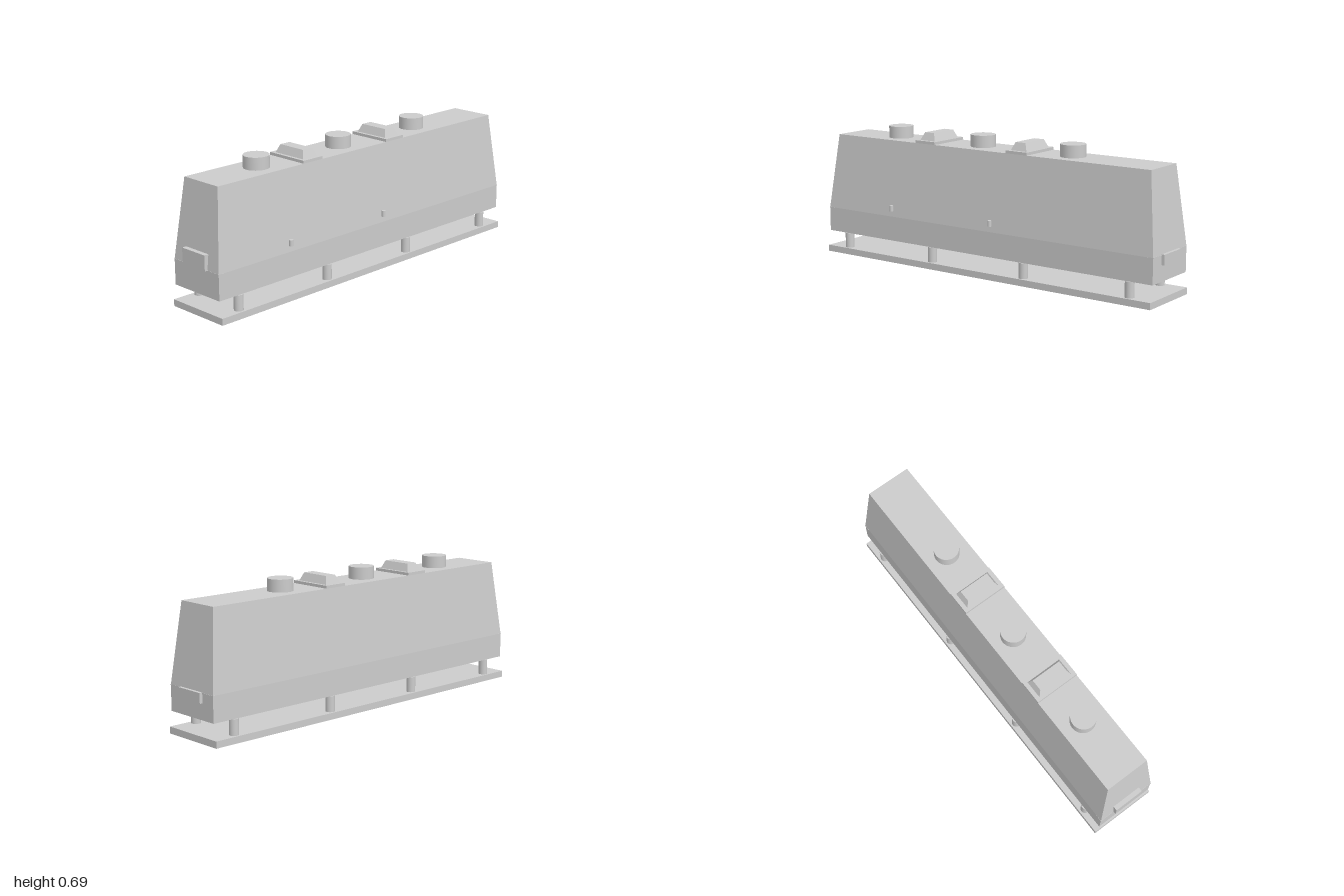
import * as THREE from 'three';

const material = new THREE.MeshStandardMaterial({ color: 0xcccccc });

function add(parent, name, geometry, x, y, z) {
  const mesh = new THREE.Mesh(geometry, material);
  mesh.name = name;
  mesh.position.set(x, y, z);
  parent.add(mesh);
  return mesh;
}

// Box standing on y0, given by its bottom and height
function addBox(parent, name, w, y0, y1, d, x = 0, z = 0) {
  return add(parent, name, new THREE.BoxGeometry(w, y1 - y0, d), x, (y0 + y1) / 2, z);
}

// Box whose top face is scaled to a smaller width and depth
function addTapered(parent, name, w, d, topW, topD, y0, y1, z = 0) {
  const geometry = new THREE.BoxGeometry(w, y1 - y0, d);
  const p = geometry.attributes.position;
  for (let i = 0; i < p.count; i++) {
    if (p.getY(i) > 0) p.setXYZ(i, p.getX(i) * topW / w, p.getY(i), p.getZ(i) * topD / d);
  }
  geometry.computeVertexNormals();
  return add(parent, name, geometry, 0, (y0 + y1) / 2, z);
}

function addCylinder(parent, name, r, y0, y1, x, z) {
  return add(parent, name, new THREE.CylinderGeometry(r, r, y1 - y0, 32), x, (y0 + y1) / 2, z);
}

export function createModel() {
  const model = new THREE.Group();
  model.name = 'longTank';

  // Flat base and the posts carrying the body
  addBox(model, 'basePlate', 0.344, 0, 0.033, 1.97);
  for (const z of [0.861, 0.298, -0.265, -0.858]) {
    for (const side of [-1, 1]) addCylinder(model, 'supportPost', 0.0227, 0.033, 0.111, side * 0.14, z);
  }

  // Straight lower body and tapered upper body
  addBox(model, 'lowerBody', 0.31, 0.111, 0.237, 1.97);
  addTapered(model, 'upperBody', 0.31, 1.97, 0.23, 1.885, 0.237, 0.627);

  // Thin seam wrapped round both ends
  for (const side of [-1, 1]) addBox(model, 'endSeam', 0.312, 0.234, 0.238, 0.035, 0, side * 0.9685);

  // End plates
  addBox(model, 'frontPlate', 0.156, 0.237, 0.313, 0.06, 0, 0.97);
  addBox(model, 'rearPlate', 0.156, 0.19, 0.24, 0.03, 0, -0.985);

  // Round caps on the roof
  for (const z of [0.613, 0.08, -0.452]) addCylinder(model, 'roofCap', 0.0625, 0.62, 0.688, 0, z);

  // Roof hatches: a full-width pad with a bevelled cover
  for (const z of [0.36, -0.202]) {
    const hatch = new THREE.Group();
    hatch.name = 'roofHatch';
    addBox(hatch, 'hatchPad', 0.23, 0.622, 0.641, 0.124, 0, z);
    addTapered(hatch, 'hatchCover', 0.188, 0.092, 0.156, 0.058, 0.641, 0.68, z);
    model.add(hatch);
  }

  // Small upright pegs on the left flank
  for (const z of [0.55, -0.077]) addCylinder(model, 'sidePeg', 0.01, 0.267, 0.297, 0.161, z);

  return model;
}
